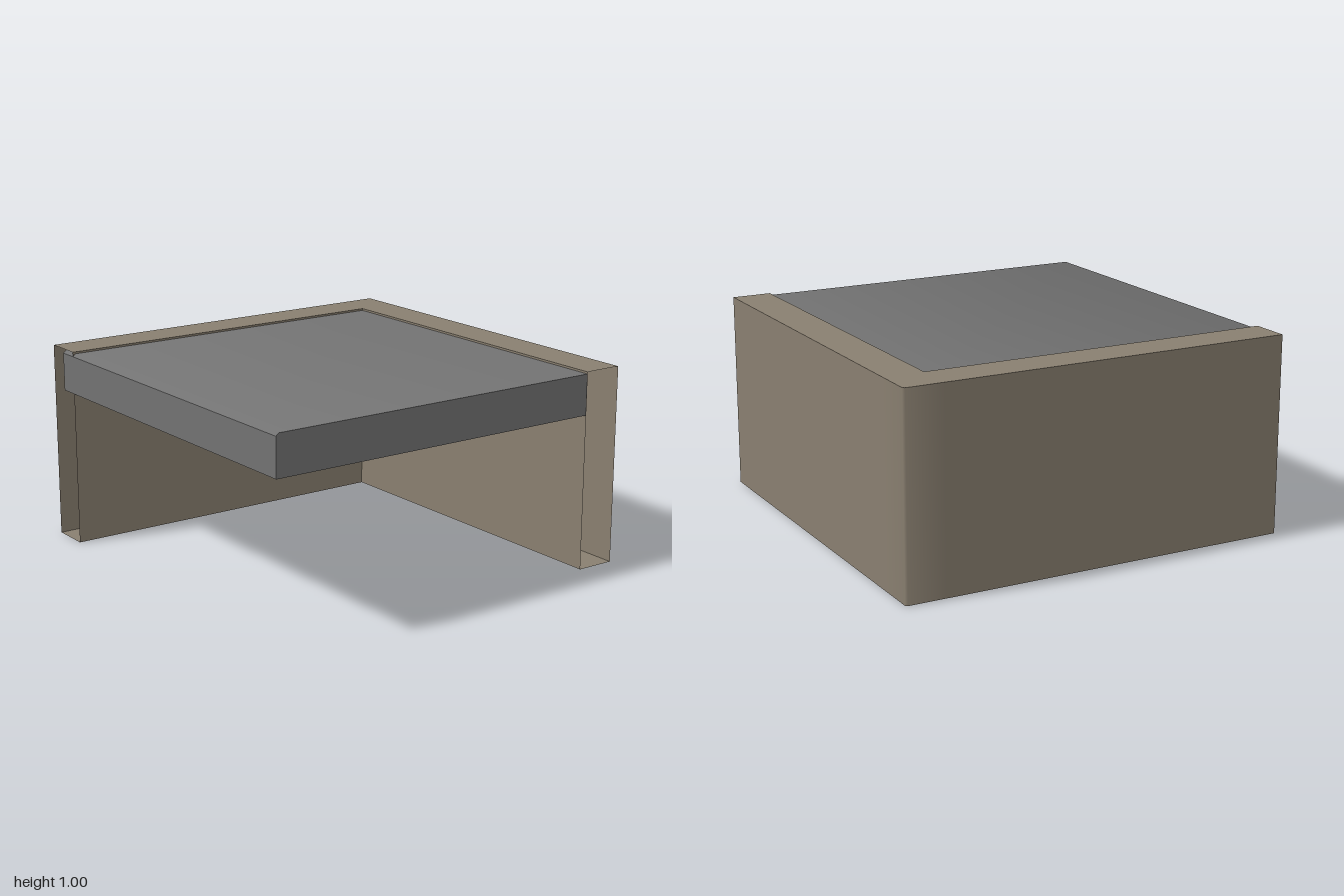
import * as THREE from 'three';

// Collects quads; each corner may carry its own normal, and the winding follows the normals.
function quadGeometry(quads) {
  const pos = [], nor = [];
  const a = new THREE.Vector3(), b = new THREE.Vector3();
  for (const { p, n } of quads) {
    const normals = Array.isArray(n[0]) ? n : [n, n, n, n];
    const v = p.map(c => new THREE.Vector3(...c));
    const face = a.subVectors(v[1], v[0]).cross(b.subVectors(v[2], v[0]));
    const facing = face.dot(new THREE.Vector3(...normals[0])) > 0;
    for (const i of facing ? [0, 1, 2, 0, 2, 3] : [0, 2, 1, 0, 3, 2]) {
      pos.push(...p[i]);
      nor.push(...new THREE.Vector3(...normals[i]).normalize().toArray());
    }
  }
  const g = new THREE.BufferGeometry();
  g.setAttribute('position', new THREE.Float32BufferAttribute(pos, 3));
  g.setAttribute('normal', new THREE.Float32BufferAttribute(nor, 3));
  return g;
}

export function createModel() {
  const wallMaterial = new THREE.MeshStandardMaterial({ color: 0x897f70, side: THREE.DoubleSide });
  wallMaterial.name = 'taupe wall';
  const slabMaterial = new THREE.MeshStandardMaterial({ color: 0x727272 });
  slabMaterial.name = 'grey slab';
  const group = new THREE.Group();
  const add = (name, quads, material) => {
    const mesh = new THREE.Mesh(quadGeometry(quads), material);
    mesh.name = name;
    group.add(mesh);
  };

  // Hollow L-shaped wall, open at both ends: plan points (x, z) with their normals
  const outer = [[-1, 1], [-1, -0.8], [-1, -0.99], [-0.99, -1], [-0.8, -1], [1, -1]];
  const outerNormals = [[-1, 0], [-1, 0], [-0.92, -0.38], [-0.38, -0.92], [0, -1], [0, -1]];
  const outerQuads = [];
  for (let i = 0; i < outer.length - 1; i++) {
    const [x0, z0] = outer[i], [x1, z1] = outer[i + 1];
    const n0 = [outerNormals[i][0], 0, outerNormals[i][1]];
    const n1 = [outerNormals[i + 1][0], 0, outerNormals[i + 1][1]];
    outerQuads.push({ p: [[x0, 0, z0], [x1, 0, z1], [x1, 1, z1], [x0, 1, z0]], n: [n0, n1, n1, n0] });
  }
  add('outerWall', outerQuads, wallMaterial);
  add('innerWall', [
    { p: [[-0.8, 0, 1], [-0.8, 0, -0.8], [-0.8, 1, -0.8], [-0.8, 1, 1]], n: [1, 0, 0] },
    { p: [[-0.8, 0, -0.8], [1, 0, -0.8], [1, 1, -0.8], [-0.8, 1, -0.8]], n: [0, 0, 1] },
  ], wallMaterial);

  // Flat rims closing the wall above and below, matching the clipped corner
  const inner = [[-0.8, 1], [-0.8, -0.8], [-0.8, -0.8], [-0.8, -0.8], [-0.8, -0.8], [1, -0.8]];
  for (const [name, y, ny] of [['wallTop', 1, 1], ['wallBottom', 0, -1]]) {
    const quads = [];
    for (let i = 0; i < outer.length - 1; i++) {
      const corners = [outer[i], outer[i + 1], inner[i + 1], inner[i]];
      quads.push({ p: corners.map(([x, z]) => [x, y, z]), n: [0, ny, 0] });
    }
    add(name, quads, wallMaterial);
  }

  // Floor slab with a softened front edge; its left side is let into the wall
  const L = -0.9, R = 1, bottom = 0.785, lip = 0.977, top = 0.99, back = -0.799, edge = 0.985;
  const up = [0, 1, 0], tilt = [0, 0.92, 0.38], slope = [0, 0.7, 0.7];
  const across = (y0, z0, y1, z1) => [[L, y0, z0], [R, y0, z0], [R, y1, z1], [L, y1, z1]];
  const quads = [
    { p: across(top, back, top, edge), n: [up, up, tilt, tilt] },
    { p: across(top, edge, lip, 1), n: [tilt, tilt, slope, slope] },
    { p: across(lip, 1, bottom, 1), n: [0, 0, 1] },
    { p: across(bottom, 1, bottom, back), n: [0, -1, 0] },
    { p: across(bottom, back, top, back), n: [0, 0, -1] },
  ];
  for (const [x, nx] of [[L, -1], [R, 1]]) {
    quads.push({ p: [[x, bottom, back], [x, bottom, 1], [x, lip, 1], [x, lip, back]], n: [nx, 0, 0] });
    quads.push({ p: [[x, lip, back], [x, lip, 1], [x, top, edge], [x, top, back]], n: [nx, 0, 0] });
  }
  add('floorSlab', quads, slabMaterial);

  return group;
}
